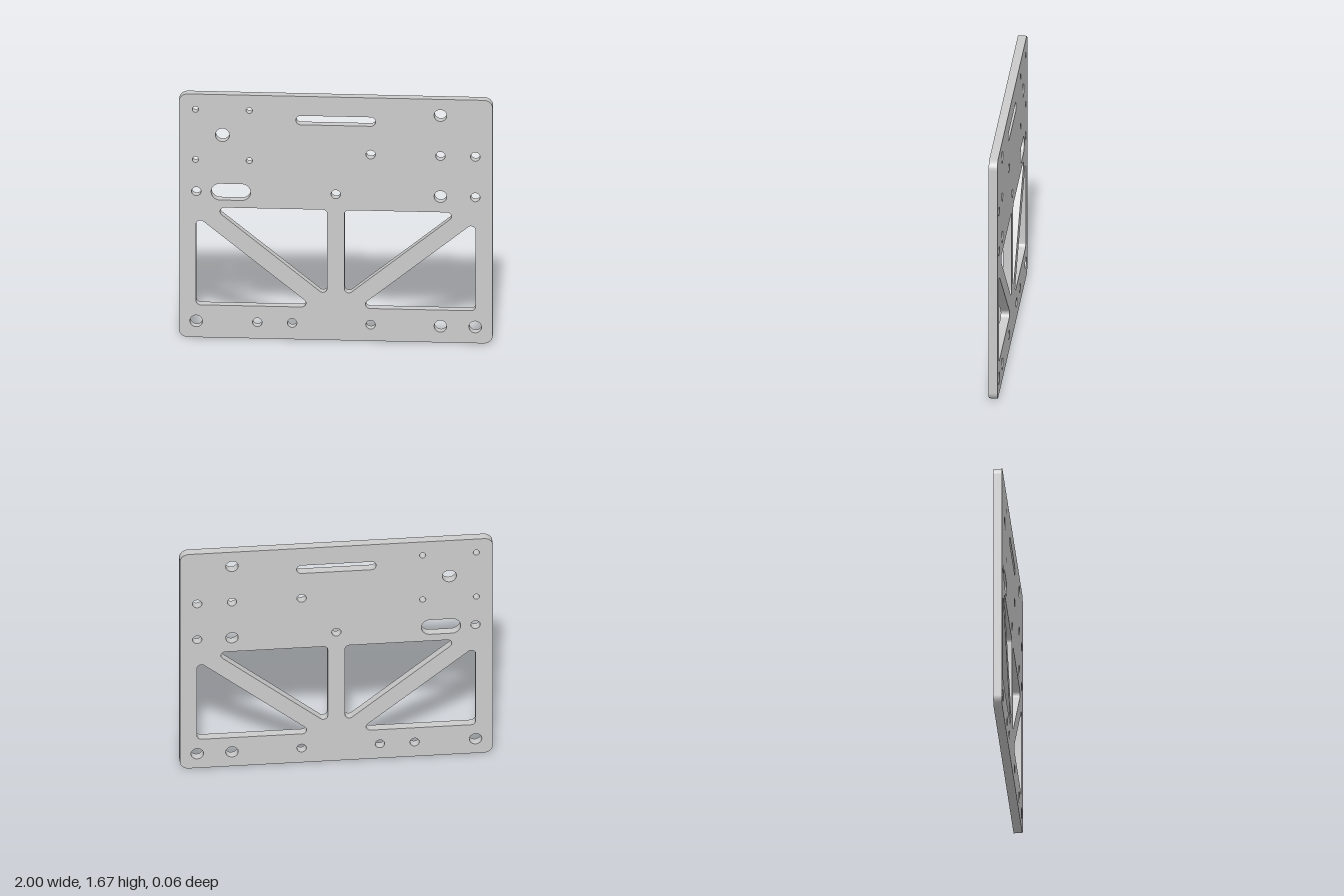
import * as THREE from 'three';
import { toCreasedNormals } from 'three/addons/utils/BufferGeometryUtils.js';

const HEIGHT = 1.667, DEPTH = 0.056;

// Rounded outline around counter-clockwise arc centres:
// two centres make a slot, three a triangle, four a plate.
function roundedOutline(path, centres, r) {
  const n = centres.length;
  const normal = (a, b) => Math.atan2(b[1] - a[1], b[0] - a[0]) - Math.PI / 2;
  centres.forEach((c, i) => {
    const before = centres[(i + n - 1) % n], after = centres[(i + 1) % n];
    path.absarc(c[0], c[1], r, normal(before, c), normal(c, after), false);
  });
  path.closePath();
  return path;
}

function roundHole(x, y, r) {
  const path = new THREE.Path();
  path.absarc(x, y, r, 0, Math.PI * 2, false);
  return path;
}

export function createModel() {
  const group = new THREE.Group();
  group.name = 'mountingPlate';

  // Plate outline
  const c = 0.056;
  const plate = roundedOutline(new THREE.Shape(),
    [[-1 + c, c], [1 - c, c], [1 - c, HEIGHT - c], [-1 + c, HEIGHT - c]], c);
  const cut = (centres, r) => plate.holes.push(roundedOutline(new THREE.Path(), centres, r));

  // Truss windows, mirrored left and right
  const r = 0.028;
  const upper = [[0.055 + r, 0.326 + r], [0.737 - r, 0.893 - r], [0.055 + r, 0.893 - r]];
  const lower = [[0.19 + r, 0.222 + r], [0.89 - r, 0.222 + r], [0.89 - r, 0.802 - r]];
  for (const window of [upper, lower]) {
    cut(window, r);
    cut(window.map(([x, y]) => [-x, y]).reverse(), r);
  }

  // Handle slot and cable slot
  cut([[-0.223, 1.503], [0.223, 1.503]], 0.031);
  cut([[-0.738, 1.0], [-0.599, 1.0]], 0.056);

  // Round holes grouped by radius
  const holes = [
    [0.02, [[-0.894, 1.562], [-0.551, 1.562], [-0.894, 1.218], [-0.551, 1.218]]],
    [0.03, [[0.222, 1.278], [0.667, 1.278], [0.889, 1.278], [-0.889, 1], [0, 1], [0.889, 1],
      [-0.5, 0.111], [-0.278, 0.111], [0.222, 0.111]]],
    [0.04, [[0.667, 1.556], [0.667, 1], [-0.889, 0.111], [0.667, 0.111], [0.889, 0.111]]],
    [0.045, [[-0.722, 1.39]]],
  ];
  for (const [radius, points] of holes)
    for (const [x, y] of points) plate.holes.push(roundHole(x, y, radius));

  // Extruded plate, smooth inside the holes with crisp rims
  const geometry = new THREE.ExtrudeGeometry(plate, { depth: DEPTH, bevelEnabled: false, curveSegments: 24 });
  geometry.translate(0, 0, -DEPTH / 2);
  const mesh = new THREE.Mesh(toCreasedNormals(geometry, 0.6),
    new THREE.MeshStandardMaterial({ color: 0xcccccc }));
  mesh.name = 'plate';
  group.add(mesh);
  return group;
}
